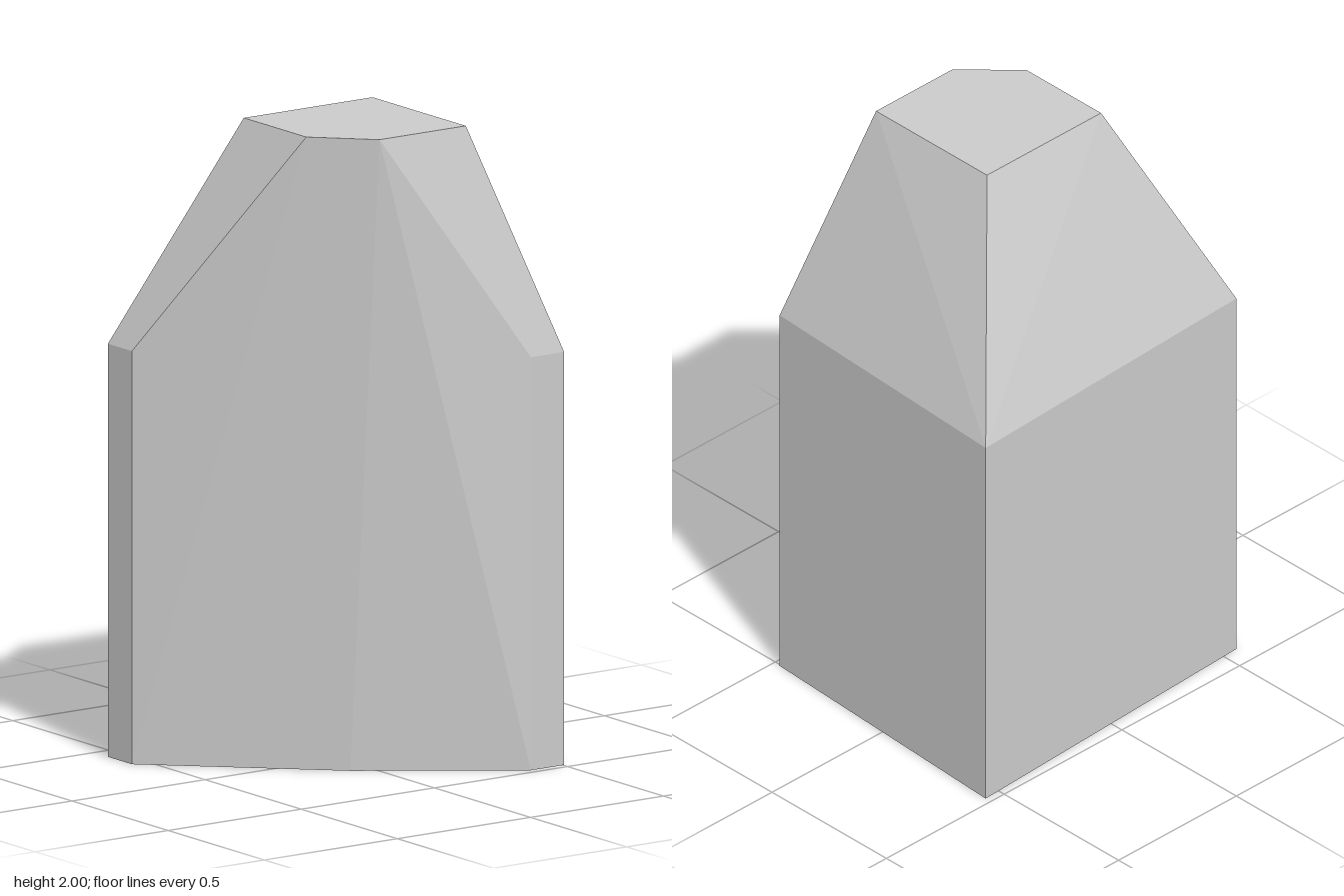
import * as THREE from 'three';
import { ConvexGeometry } from 'three/addons/geometries/ConvexGeometry.js';

// Places a plan outline of [x, z] corners at a given height
const level = (y, outline) => outline.map(([x, z]) => new THREE.Vector3(x, y, z));

export function createModel() {
  const group = new THREE.Group();
  group.name = 'facetedBlock';

  // Plan of the upright walls: back, right, front corners in turn
  const walls = [[-0.478, -0.557], [0.476, -0.505], [0.476, -0.38], [-0.303, 0.556], [-0.428, 0.556]];
  // Extra ground corner that bulges the slanted front face
  const bulge = [[0.16, 0.07]];
  // Smaller flat top with one clipped corner
  const top = [[-0.17, -0.252], [0.315, -0.252], [0.315, 0.072], [0.155, 0.232], [-0.17, 0.232]];

  // Convex solid spanning ground, shoulder and top
  const block = new THREE.Mesh(
    new ConvexGeometry([...level(0, walls), ...level(0, bulge), ...level(1.29, walls), ...level(2, top)]),
    new THREE.MeshStandardMaterial({ color: 0xcccccc, flatShading: true })
  );
  block.name = 'taperedBlock';
  group.add(block);
  return group;
}
